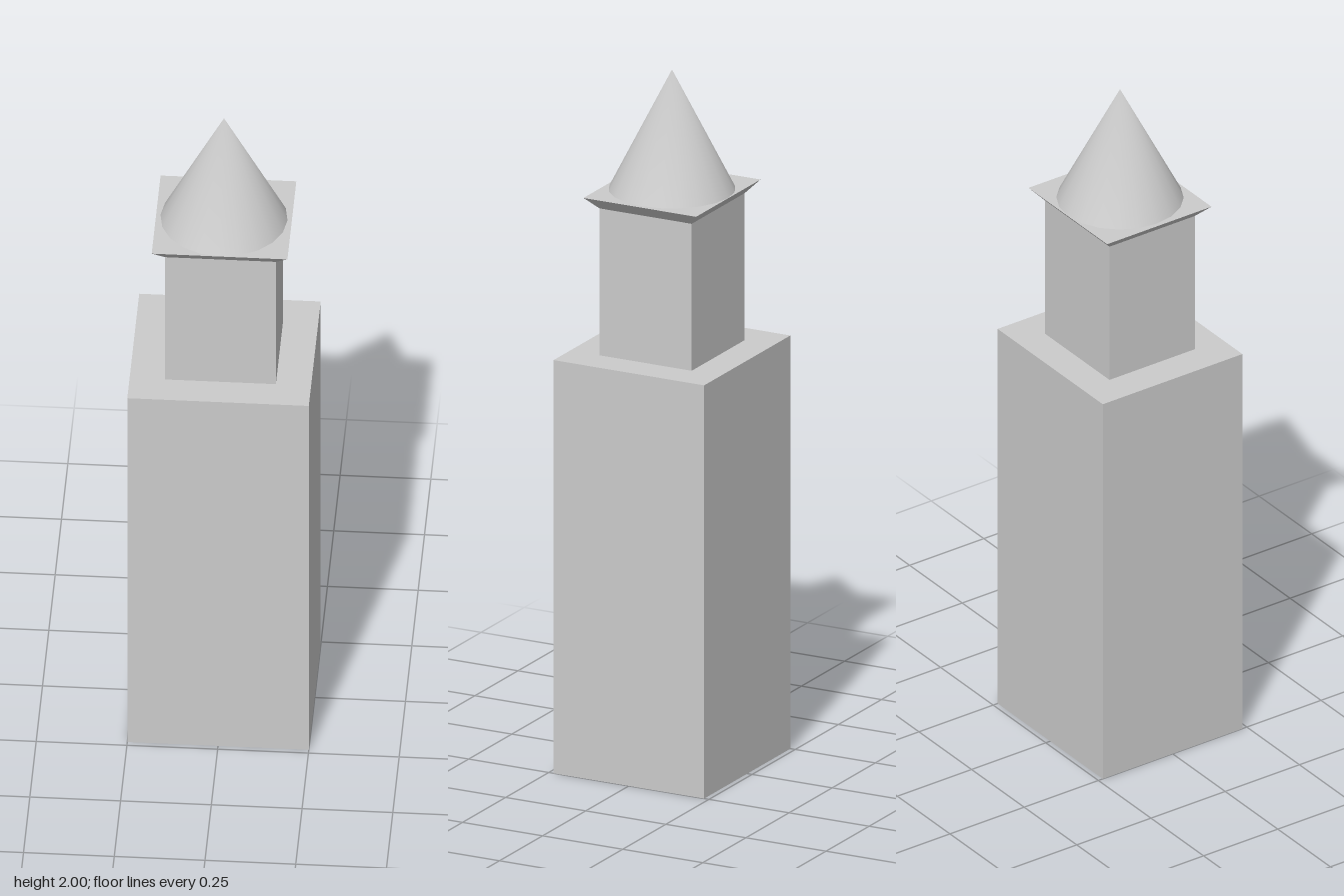
import * as THREE from 'three';
import { mergeVertices } from 'three/addons/utils/BufferGeometryUtils.js';

const grey = new THREE.MeshStandardMaterial({ color: 0xcccccc });
const DEPTH = 0.94; // depth of every rectangular stage relative to its width

export function createModel() {
  const group = new THREE.Group();
  const add = (name, geometry, y) => {
    const mesh = new THREE.Mesh(geometry, grey);
    mesh.name = name;
    mesh.position.y = y;
    group.add(mesh);
  };

  // Rectangular stage from y0 to y1 with half widths at bottom and top
  const stage = (name, bottom, top, y0, y1) => {
    const geometry = new THREE.CylinderGeometry(top * Math.SQRT2, bottom * Math.SQRT2, y1 - y0, 4)
      .rotateY(Math.PI / 4)
      .scale(1, 1, DEPTH)
      .toNonIndexed();
    geometry.computeVertexNormals();
    add(name, geometry, (y0 + y1) / 2);
  };

  stage('lowerTower', 0.25, 0.25, 0, 1.195);
  stage('upperTower', 0.153, 0.153, 1.195, 1.62);
  stage('flaredCornice', 0.153, 0.187, 1.62, 1.655);

  // Spire: the tip is welded so its shading is smooth all round
  const spire = new THREE.ConeGeometry(0.175, 0.345, 20, 1, true);
  spire.deleteAttribute('uv');
  spire.deleteAttribute('normal');
  const smoothSpire = mergeVertices(spire);
  smoothSpire.computeVertexNormals();
  add('spire', smoothSpire, 1.8275);

  return group;
}
